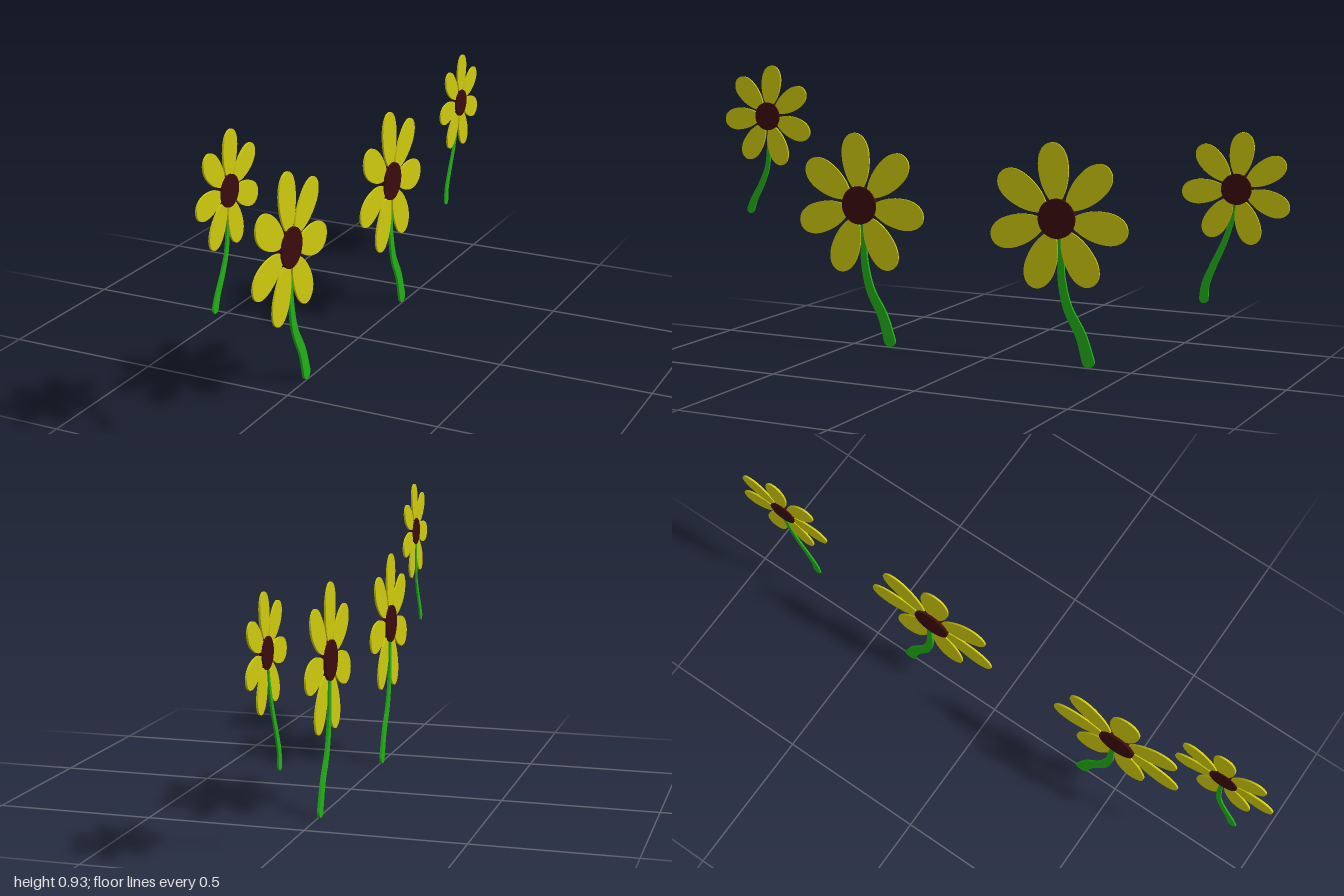
import * as THREE from 'three';

const mat = (name, color) => {
  const m = new THREE.MeshStandardMaterial({ color });
  m.name = name;
  return m;
};

// Extrude a flat shape so that it spans z0..z1
function slab(shape, z0, z1) {
  const g = new THREE.ExtrudeGeometry(shape, { depth: z1 - z0, bevelEnabled: false, curveSegments: 14 });
  return g.translate(0, 0, z0);
}

// Egg-shaped petal pointing along +x, narrow end at the flower centre
function petalShape(tip) {
  const root = 0.16 * tip, half = 0.215 * tip, wide = 0.69 * tip;
  const s = new THREE.Shape();
  s.moveTo(root, 0);
  s.bezierCurveTo(root + 0.08 * tip, -half * 0.5, wide - 0.26 * tip, -half, wide, -half);
  s.bezierCurveTo(wide + 0.18 * tip, -half, tip, -half * 0.6, tip, 0);
  s.bezierCurveTo(tip, half * 0.6, wide + 0.18 * tip, half, wide, half);
  s.bezierCurveTo(wide - 0.26 * tip, half, root + 0.08 * tip, half * 0.5, root, 0);
  return s;
}

// Tapering ribbon along a curve, with a rounded foot
function stemShape(points, topHalf, footHalf) {
  const curve = new THREE.CatmullRomCurve3(points.map(([x, y]) => new THREE.Vector3(x, y, 0)));
  const left = [], right = [], foot = [], n = 24;
  for (let i = 0; i <= n; i++) {
    const t = i / n, p = curve.getPoint(t), d = curve.getTangent(t);
    const w = topHalf + (footHalf - topHalf) * t;
    left.push(new THREE.Vector2(p.x - d.y * w, p.y + d.x * w));
    right.push(new THREE.Vector2(p.x + d.y * w, p.y - d.x * w));
    if (i === n) {
      for (let k = 1; k < 8; k++) {
        const a = (k / 8) * Math.PI, c = Math.cos(a) * w, s = Math.sin(a) * w;
        foot.push(new THREE.Vector2(p.x - d.y * c + d.x * s, p.y + d.x * c + d.y * s));
      }
    }
  }
  return new THREE.Shape([...left, ...foot, ...right.reverse()]);
}

export function createModel() {
  const yellow = mat('petalYellow', 0xcfca0e);
  const brown = mat('centreBrown', 0x3c0c0e);
  const green = mat('stemGreen', 0x22b016);

  const bigStem = [[0.008, -0.03], [0.012, -0.12], [0.014, -0.19], [0.036, -0.285], [0.082, -0.37], [0.108, -0.452]];
  const smallStemA = [[0, -0.02], [-0.001, -0.09], [-0.01, -0.175], [-0.035, -0.235], [-0.066, -0.29], [-0.079, -0.323]];
  const smallStemB = [[0, -0.02], [-0.012, -0.085], [-0.038, -0.165], [-0.072, -0.24], [-0.095, -0.3], [-0.099, -0.342]];

  const big = { tip: 0.242, disc: 0.064, front: 0.01, back: -0.011, angle: 95, stem: bigStem, top: 0.007, foot: 0.021 };
  const small = { tip: 0.173, disc: 0.047, front: 0.009, back: -0.007, angle: 83, top: 0.005, foot: 0.0145 };
  const flowers = [
    { name: 'largeFlowerFront', z: 0.473, y: 0.473, ...big },
    { name: 'largeFlowerBack', z: -0.245, y: 0.473, ...big },
    { name: 'smallFlowerFront', z: 0.828, y: 0.757, ...small, stem: smallStemA },
    { name: 'smallFlowerBack', z: -0.832, y: 0.599, ...small, stem: smallStemB },
  ];

  const model = new THREE.Group();
  model.name = 'flowers';
  for (const f of flowers) {
    // Each flower is built facing +z, then turned to face +x
    const flower = new THREE.Group();
    flower.name = f.name;
    flower.position.set(0, f.y, f.z);
    flower.rotation.y = Math.PI / 2;
    const add = (name, geometry, material) => {
      const m = new THREE.Mesh(geometry, material);
      m.name = name;
      flower.add(m);
      return m;
    };

    // Seven petals
    const petal = slab(petalShape(f.tip), -0.003, 0.003);
    for (let i = 0; i < 7; i++) {
      add('petal', petal, yellow).rotation.z = THREE.MathUtils.degToRad(f.angle + (i * 360) / 7);
    }

    // Seed disc
    const disc = new THREE.CylinderGeometry(f.disc, f.disc, f.front - f.back, 28);
    disc.rotateX(Math.PI / 2).translate(0, 0, (f.front + f.back) / 2);
    add('flowerCentre', disc, brown);

    // Stem runs behind the petals
    add('stem', slab(stemShape(f.stem, f.top, f.foot), f.back > -0.01 ? -0.0065 : -0.009, -0.001), green);
    model.add(flower);
  }
  return model;
}
